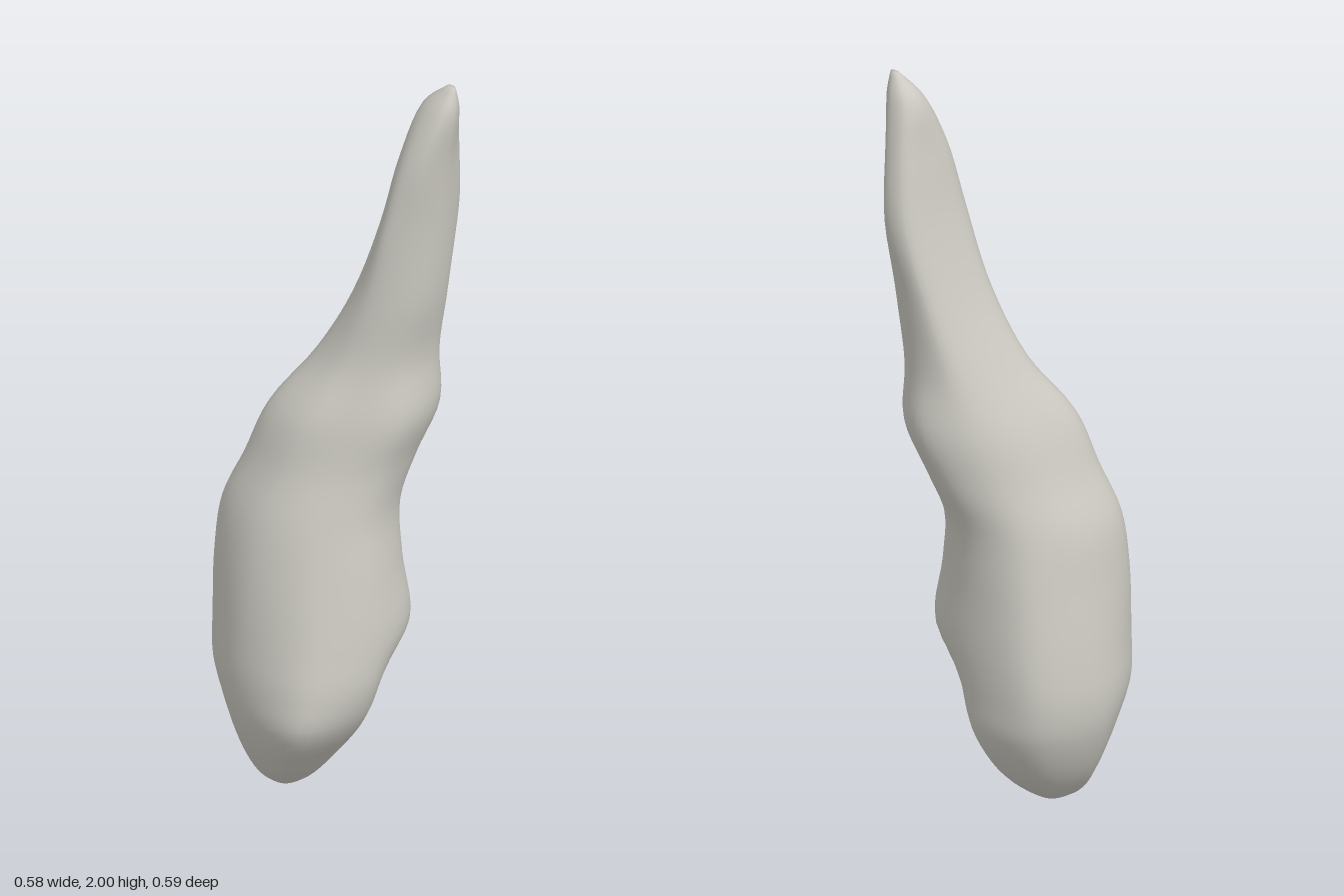
import * as THREE from 'three';
import { mergeVertices } from 'three/addons/utils/BufferGeometryUtils.js';

// Cross-sections from root to tip:
// [y, xMin, xMax, zMin, zMax, then fullness of the four diagonal corners:
//  front +x, front -x, back -x, back +x]  (1 = elliptical corner)
const SECTIONS = [
  [0.00, -0.11, -0.07, -0.06, -0.02, 1, 1, 1, 1],
  [0.03, -0.16, 0.01, -0.13, 0.03, 0.83, 1.25, 0.9, 1.25],
  [0.12, -0.22, 0.115, -0.215, 0.11, 0.62, 1.33, 0.8, 1.13],
  [0.25, -0.275, 0.185, -0.275, 0.21, 0.58, 1.28, 0.85, 1.13],
  [0.35, -0.29, 0.195, -0.29, 0.25, 0.76, 1.14, 0.92, 1.14],
  [0.47, -0.285, 0.20, -0.28, 0.255, 1.03, 1.04, 0.96, 1.12],
  [0.65, -0.265, 0.19, -0.25, 0.23, 1.02, 0.97, 1.05, 1.08],
  [0.80, -0.235, 0.195, -0.22, 0.205, 1.02, 0.95, 1.12, 1],
  [0.93, -0.185, 0.24, -0.16, 0.21, 1.03, 0.9, 1.2, 0.94],
  [1.07, -0.135, 0.28, -0.105, 0.24, 1.05, 0.83, 1.27, 0.94],
  [1.22, -0.045, 0.26, -0.03, 0.222, 1.1, 0.93, 1.18, 1.05],
  [1.40, 0.005, 0.265, 0.05, 0.25, 1.03, 0.92, 1.08, 1.2],
  [1.62, 0.04, 0.29, 0.118, 0.265, 0.9, 0.95, 1, 1.22],
  [1.80, 0.08, 0.27, 0.155, 0.28, 0.83, 1.1, 1, 1.2],
  [1.94, 0.145, 0.24, 0.185, 0.295, 0.9, 1.13, 1, 1.08],
  [2.00, 0.195, 0.212, 0.25, 0.28, 1, 1, 1, 1],
];
const AROUND = 48;
const STEPS = 5;

// Smooth closed ring through eight points of one section
function ring([y, x0, x1, z0, z1, ...corner]) {
  const points = [];
  for (let k = 0; k < 8; k++) {
    const a = (k * Math.PI) / 4;
    const f = k % 2 ? corner[(k - 1) / 2] : 1;
    points.push(new THREE.Vector3(
      (x0 + x1) / 2 + ((x1 - x0) / 2) * f * Math.cos(a),
      y,
      (z0 + z1) / 2 + ((z1 - z0) / 2) * f * Math.sin(a)));
  }
  const curve = new THREE.CatmullRomCurve3(points, true);
  return Array.from({ length: AROUND }, (_, j) => curve.getPoint(j / AROUND));
}

// Skin the rings with smooth lengthwise curves and close both ends
function loft(sections) {
  const rings = sections.map(ring);
  const rows = (sections.length - 1) * STEPS;
  const positions = [];
  const index = [];
  const columns = rings[0].map((_, j) => new THREE.CatmullRomCurve3(rings.map((r) => r[j])));
  for (let i = 0; i <= rows; i++) {
    for (const column of columns) positions.push(...column.getPoint(i / rows).toArray());
  }
  const id = (i, j) => i * AROUND + (j % AROUND);
  for (let i = 0; i < rows; i++) {
    for (let j = 0; j < AROUND; j++) {
      const a = id(i, j), b = id(i, j + 1), c = id(i + 1, j), d = id(i + 1, j + 1);
      index.push(a, c, b, b, c, d);
    }
  }
  const bottom = positions.length / 3;
  const top = bottom + 1;
  const middle = (s) => [(s[1] + s[2]) / 2, s[0], (s[3] + s[4]) / 2];
  positions.push(...middle(sections[0]), ...middle(sections[sections.length - 1]));
  for (let j = 0; j < AROUND; j++) {
    index.push(bottom, id(0, j), id(0, j + 1));
    index.push(top, id(rows, j + 1), id(rows, j));
  }
  const geometry = new THREE.BufferGeometry();
  geometry.setAttribute('position', new THREE.Float32BufferAttribute(positions, 3));
  geometry.setIndex(index);
  const merged = mergeVertices(geometry, 1e-5);
  merged.computeVertexNormals();
  return merged;
}

export function createModel() {
  const group = new THREE.Group();
  group.name = 'stoneSpike';
  const stone = new THREE.MeshStandardMaterial({ color: 0xcac8c0 });
  stone.name = 'warm grey stone';
  const body = new THREE.Mesh(loft(SECTIONS), stone);
  body.name = 'spikeBody';
  group.add(body);
  return group;
}
